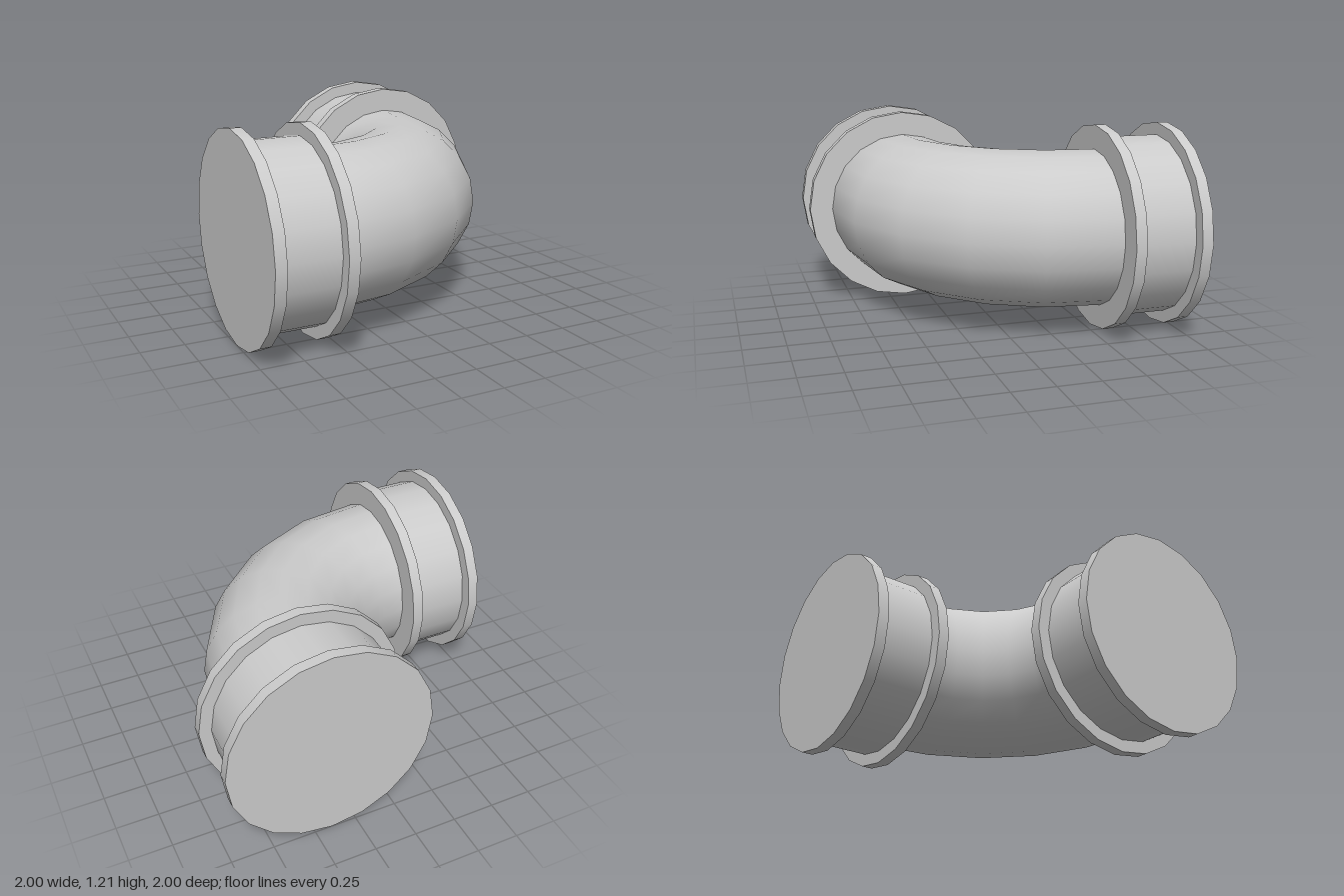
import * as THREE from 'three';

const SIDES = 20;
const AXIS_Y = 0.604;   // height of the pipe axis
const OFFSET = 0.396;   // sideways offset of each pipe end
const FACE = 0.54;      // where the bend meets the collars
const END = 1.0;        // outer end of the collars
const RIM = 0.065;      // flange thickness

const material = new THREE.MeshStandardMaterial({ color: 0xcccccc });

// Solid disc or drum along z, between two z positions
function drum(name, radius, z0, z1) {
  const geometry = new THREE.CylinderGeometry(radius, radius, z1 - z0, SIDES);
  geometry.rotateX(Math.PI / 2);
  const mesh = new THREE.Mesh(geometry, material);
  mesh.name = name;
  mesh.position.z = (z0 + z1) / 2;
  return mesh;
}

// Pipe end: a short sleeve between two flanges, pointing to -z
function pipeEnd(name) {
  const group = new THREE.Group();
  group.name = name;
  group.add(
    drum('outerFlange', 0.604, -END, -END + RIM),
    drum('sleeve', 0.532, -END + RIM, -FACE - RIM),
    drum('innerFlange', 0.604, -FACE - RIM, -FACE)
  );
  return group;
}

export function createModel() {
  const model = new THREE.Group();
  model.name = 'pipeElbow';

  // Quarter-turn bend
  const bendGeometry = new THREE.TorusGeometry(OFFSET + FACE, 0.4625, SIDES, 5, Math.PI / 2);
  bendGeometry.rotateX(Math.PI / 2);
  const bend = new THREE.Mesh(bendGeometry, material);
  bend.name = 'bend';
  bend.position.set(-FACE, AXIS_Y, -FACE);
  model.add(bend);

  // Back end faces -z, side end faces -x
  const backEnd = pipeEnd('backEnd');
  backEnd.position.set(OFFSET, AXIS_Y, 0);
  const sideEnd = pipeEnd('sideEnd');
  sideEnd.rotation.y = Math.PI / 2;
  sideEnd.position.set(0, AXIS_Y, OFFSET);
  model.add(backEnd, sideEnd);

  return model;
}
